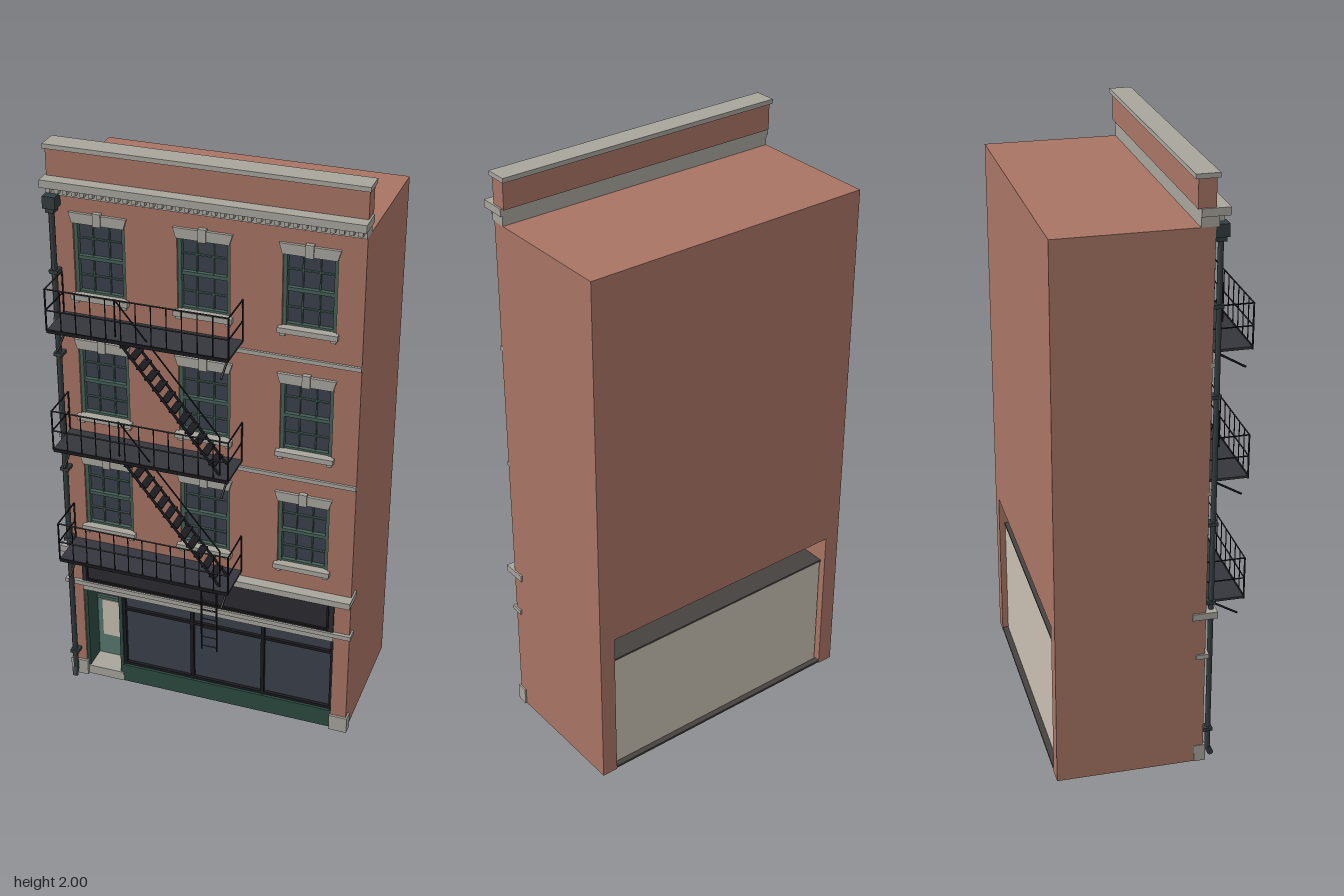
import * as THREE from 'three';

const mat = (c) => new THREE.MeshStandardMaterial({ color: c });
const M = {
  brick: mat(0xa87464), stone: mat(0xa8a59d), glass: mat(0x3a404c), iron: mat(0x1b1b20),
  deck: mat(0x35353d), green: mat(0x2c4a40), frame: mat(0x455f57), door: mat(0x58776f),
  plaster: mat(0xc8bfb2), sign: mat(0x2a2a30), pipe: mat(0x333d3f), floor: mat(0x45423f),
};

// Box given by its limits on each axis
function box(parent, name, m, x0, x1, y0, y1, z0, z1) {
  const mesh = new THREE.Mesh(new THREE.BoxGeometry(x1 - x0, y1 - y0, z1 - z0), m);
  mesh.position.set((x0 + x1) / 2, (y0 + y1) / 2, (z0 + z1) / 2);
  mesh.name = name;
  parent.add(mesh);
  return mesh;
}

// Thin round bar between two points
function bar(parent, name, a, b, r = 0.0025, m = M.iron, sides = 6) {
  const p = new THREE.Vector3(...a), q = new THREE.Vector3(...b);
  const mesh = new THREE.Mesh(new THREE.CylinderGeometry(r, r, p.distanceTo(q), sides), m);
  mesh.position.copy(p).add(q).multiplyScalar(0.5);
  mesh.quaternion.setFromUnitVectors(new THREE.Vector3(0, 1, 0), q.sub(p).normalize());
  mesh.name = name;
  parent.add(mesh);
}

function group(parent, name) {
  const g = new THREE.Group();
  g.name = name;
  parent.add(g);
  return g;
}

const W = 0.505, BACK = -0.315, FRONT = 0.175;
const COLS = [-0.34, 0, 0.335], SILLS = [0.645, 1.075, 1.51];
const WIN_W = 0.085, WIN_H = 0.25;

function addShell(root) {
  const g = group(root, 'shell');
  box(g, 'upperFloors', M.brick, -W, W, 0.55, 1.84, BACK, 0.145);
  for (const s of [-1, 1]) {
    const x = s * 0.4775;
    box(g, 'pier', M.brick, x - 0.0275, x + 0.0275, 0, 0.55, BACK, FRONT);
    box(g, 'pierBase', M.stone, x - 0.03, x + 0.033, 0, 0.06, 0.145, 0.183);
  }
  // Brick face pierced by the window openings
  const face = new THREE.Shape([[-W, 0.55], [W, 0.55], [W, 1.84], [-W, 1.84]].map((p) => new THREE.Vector2(...p)));
  for (const x of COLS) for (const y of SILLS) {
    face.holes.push(new THREE.Path([[-1, 0], [-1, 1], [1, 1], [1, 0]].map(([u, v]) => new THREE.Vector2(x + u * WIN_W, y + v * WIN_H))));
  }
  const wall = new THREE.Mesh(new THREE.ExtrudeGeometry(face, { depth: 0.03, bevelEnabled: false }), M.brick);
  wall.position.z = 0.145;
  wall.name = 'facade';
  g.add(wall);
  for (const y of [0.985, 1.41]) box(g, 'stringCourse', M.stone, -W, W, y - 0.008, y + 0.006, 0.17, 0.183);
}

function addWindow(root, x, y) {
  const g = group(root, 'window');
  g.position.set(x, y, 0);
  const w = WIN_W, h = WIN_H;
  box(g, 'glass', M.glass, -w, w, 0, h, 0.146, 0.151);
  for (const s of [-1, 1]) box(g, 'jamb', M.frame, s * (w - 0.006) - 0.006, s * (w - 0.006) + 0.006, 0, h, 0.15, 0.168);
  for (const v of [0.006, h / 2, h - 0.006]) box(g, 'rail', M.frame, -w, w, v - 0.006, v + 0.006, 0.15, 0.165);
  for (const u of [-0.027, 0.027]) box(g, 'muntin', M.frame, u - 0.002, u + 0.002, 0, h, 0.15, 0.158);
  for (const v of [h / 4, h * 0.75]) box(g, 'muntin', M.frame, -w, w, v - 0.002, v + 0.002, 0.15, 0.158);
  // Sill with end blocks
  box(g, 'sill', M.stone, -0.095, 0.095, -0.013, 0.005, 0.15, 0.193);
  for (const s of [-1, 1]) box(g, 'sillBlock', M.stone, s * 0.08 - 0.008, s * 0.08 + 0.008, -0.025, -0.013, 0.17, 0.185);
  // Splayed lintel and keystone
  const lintel = new THREE.Shape([[-0.085, 0], [0.085, 0], [0.095, 0.034], [-0.095, 0.034]].map((p) => new THREE.Vector2(...p)));
  const mesh = new THREE.Mesh(new THREE.ExtrudeGeometry(lintel, { depth: 0.035, bevelEnabled: false }), M.stone);
  mesh.position.set(0, h - 0.004, 0.15);
  mesh.name = 'lintel';
  g.add(mesh);
  box(g, 'keystone', M.stone, -0.013, 0.013, h - 0.006, h + 0.037, 0.16, 0.19);
}

function addCornice(root) {
  const g = group(root, 'cornice');
  box(g, 'frieze', M.stone, -W, W, 1.84, 1.875, 0.13, 0.185);
  box(g, 'corniceSlab', M.stone, -0.511, 0.511, 1.872, 1.897, 0.13, 0.218);
  for (let x = -0.49; x < 0.5; x += 0.028) box(g, 'dentil', M.stone, x - 0.007, x + 0.007, 1.852, 1.873, 0.18, 0.203);
  box(g, 'parapet', M.brick, -W, W, 1.895, 1.986, 0.12, FRONT);
  box(g, 'parapetCap', M.stone, -0.51, 0.51, 1.985, 2, 0.11, 0.184);
}

function addShop(root) {
  const g = group(root, 'shopFront');
  // Room shell behind the shop front
  box(g, 'room', M.plaster, -0.445, 0.445, 0.012, 0.445, -0.295, 0.07);
  box(g, 'roomRoof', M.floor, -0.447, 0.447, 0.445, 0.452, -0.297, 0.15);
  box(g, 'floor', M.floor, -0.45, 0.45, 0.004, 0.012, -0.315, 0.15);
  // Glazed display
  box(g, 'bulkhead', M.green, -0.312, 0.45, 0, 0.07, 0.06, 0.17);
  box(g, 'displayGlass', M.glass, -0.306, 0.45, 0.07, 0.38, 0.07, 0.15);
  for (const x of [-0.306, -0.055, 0.2, 0.445]) box(g, 'mullion', M.iron, x - 0.006, x + 0.006, 0.07, 0.375, 0.145, 0.163);
  for (const y of [0.075, 0.31, 0.37]) box(g, 'glazingBar', M.iron, -0.31, 0.45, y - 0.005, y + 0.005, 0.145, 0.161);
  // Recessed entrance
  box(g, 'doorStep', M.stone, -0.45, -0.312, 0, 0.035, 0.07, 0.172);
  box(g, 'door', M.door, -0.44, -0.32, 0.035, 0.28, 0.07, 0.085);
  box(g, 'doorPanel', M.plaster, -0.42, -0.34, 0.12, 0.272, 0.085, 0.088);
  box(g, 'transom', M.glass, -0.44, -0.32, 0.285, 0.38, 0.07, 0.08);
  box(g, 'transomBar', M.frame, -0.45, -0.312, 0.276, 0.288, 0.07, 0.09);
  box(g, 'doorKnob', M.iron, -0.334, -0.328, 0.14, 0.165, 0.085, 0.095);
  for (const x of [-0.445, -0.317]) box(g, 'doorJamb', M.green, x - 0.006, x + 0.006, 0.035, 0.375, 0.07, 0.168);
  // Fascia board with a raised border
  box(g, 'fascia', M.sign, -0.45, 0.45, 0.405, 0.545, 0.14, 0.18);
  for (const y of [0.422, 0.522]) box(g, 'fasciaBorder', M.iron, -0.43, 0.43, y - 0.003, y + 0.003, 0.18, 0.186);
  for (const s of [-1, 1]) box(g, 'fasciaBorder', M.iron, s * 0.43 - 0.003, s * 0.43 + 0.003, 0.419, 0.525, 0.18, 0.186);
  box(g, 'lowerBand', M.stone, -0.45, 0.45, 0.372, 0.396, 0.14, 0.18);
  box(g, 'lowerMoulding', M.stone, -0.511, 0.511, 0.394, 0.41, 0.145, 0.187);
  box(g, 'shopCornice', M.stone, -0.511, 0.511, 0.54, 0.563, 0.13, 0.213);
}

function addDrainpipe(root) {
  const g = group(root, 'drainpipe');
  const x = -0.483, z = 0.197;
  bar(g, 'pipe', [x, 0.03, z], [x, 1.81, z], 0.009, M.pipe, 12);
  bar(g, 'pipeFoot', [x, 0.035, z], [x, 0.008, z + 0.012], 0.01, M.pipe, 12);
  box(g, 'hopper', M.pipe, x - 0.021, x + 0.021, 1.805, 1.845, 0.175, 0.218);
  box(g, 'hopperNeck', M.pipe, x - 0.014, x + 0.014, 1.79, 1.805, 0.18, 0.212);
  for (const y of [0.11, 0.59, 0.87, 1.3, 1.59]) box(g, 'pipeClip', M.pipe, x - 0.015, x + 0.015, y - 0.006, y + 0.006, 0.17, 0.209);
}

const PX0 = -0.468, PX1 = 0.127, PZ0 = 0.178, PZ1 = 0.31;

function addPlatform(root, y) {
  const g = group(root, 'firePlatform');
  g.position.y = y;
  box(g, 'deck', M.deck, PX0, PX1, -0.005, 0.003, FRONT, PZ1);
  box(g, 'deckEdge', M.iron, PX0, PX1, -0.007, 0.005, PZ1 - 0.002, PZ1 + 0.003);
  for (const h of [0.07, 0.142]) {
    bar(g, 'frontRail', [PX0, h, PZ1], [PX1, h, PZ1]);
    for (const x of [PX0, PX1]) bar(g, 'sideRail', [x, h, PZ0], [x, h, PZ1]);
  }
  for (let i = 0; i <= 12; i++) {
    const x = PX0 + (PX1 - PX0) * i / 12;
    bar(g, 'baluster', [x, 0, PZ1], [x, 0.142, PZ1], i % 12 ? 0.0018 : 0.003);
  }
  for (const x of [PX0, PX1]) bar(g, 'wallPost', [x, 0, PZ0], [x, 0.142, PZ0]);
  // Sloping brackets under the deck
  for (const x of [-0.44, 0.1]) bar(g, 'bracket', [x, 0, FRONT], [x, -0.073, 0.3], 0.0035);
}

function addStair(root, yTop) {
  const g = group(root, 'fireStair');
  const x0 = -0.25, x1 = 0.09, drop = 0.43, z0 = 0.213, z1 = 0.283;
  for (const z of [z0, z1]) bar(g, 'stringer', [x0, yTop, z], [x1, yTop - drop, z], 0.0045);
  for (let i = 1; i < 13; i++) {
    const t = i / 13, x = x0 + (x1 - x0) * t, y = yTop - drop * t;
    box(g, 'tread', M.iron, x - 0.013, x + 0.013, y - 0.002, y + 0.002, z0, z1);
  }
  bar(g, 'handrail', [x0, yTop + 0.13, z1], [x1, yTop - drop + 0.14, z1]);
  bar(g, 'handrailPost', [x0, yTop, z1], [x0, yTop + 0.13, z1]);
  bar(g, 'handrailPost', [x1, yTop - drop, z1], [x1, yTop - drop + 0.14, z1]);
}

function addLadder(root) {
  const g = group(root, 'dropLadder');
  for (const x of [0.033, 0.086]) bar(g, 'ladderRail', [x, 0.33, 0.305], [x, 0.58, 0.305], 0.003);
  for (let y = 0.345; y < 0.57; y += 0.037) bar(g, 'rung', [0.033, y, 0.305], [0.086, y, 0.305], 0.002);
}

export function createModel() {
  const root = new THREE.Group();
  root.name = 'shopBuilding';
  addShell(root);
  for (const x of COLS) for (const y of SILLS) addWindow(root, x, y);
  addCornice(root);
  addShop(root);
  addDrainpipe(root);
  for (const y of [0.58, 1.01, 1.44]) addPlatform(root, y);
  for (const y of [1.01, 1.44]) addStair(root, y);
  addLadder(root);
  return root;
}
